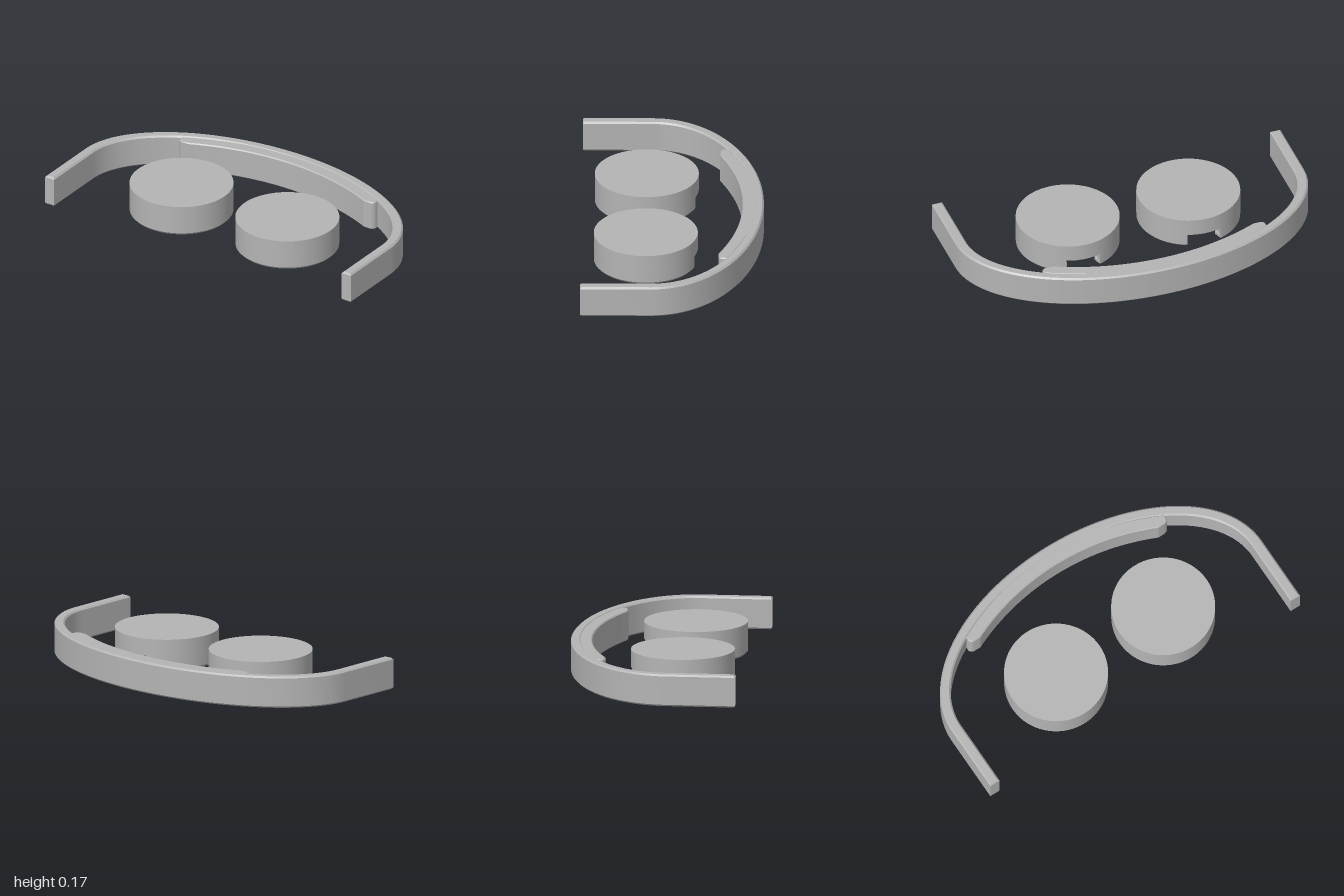
import * as THREE from 'three';
import { toCreasedNormals } from 'three/addons/utils/BufferGeometryUtils.js';

const grey = new THREE.MeshStandardMaterial({ color: 0xb4b4b4 });
grey.name = 'plain grey';

// Extrude a plan outline (x, z) between two heights, with chamfered edges
function slab(name, shape, y0, y1, bevel = 0) {
  const geo = new THREE.ExtrudeGeometry(shape, {
    depth: y1 - y0 - 2 * bevel, curveSegments: 72,
    bevelEnabled: bevel > 0, bevelSize: bevel, bevelThickness: bevel,
    bevelOffset: -bevel, bevelSegments: 1,
  });
  geo.rotateX(Math.PI / 2).translate(0, y1 - bevel, 0);
  const mesh = new THREE.Mesh(toCreasedNormals(geo, 0.4), grey);
  mesh.name = name;
  return mesh;
}

// Ring segment in plan
function sector(rIn, rOut, a0, a1) {
  const s = new THREE.Shape();
  s.absarc(0, 0, rOut, a0, a1, false);
  s.absarc(0, 0, rIn, a1, a0, true);
  return s;
}

// Arched band with two straight arms
function headband() {
  const s = new THREE.Shape();
  s.moveTo(-1, 0.49);
  s.lineTo(-1, 0.11);
  s.absellipse(0, 0.11, 1, 0.605, Math.PI, 2 * Math.PI, false);
  s.lineTo(1, 0.49);
  s.lineTo(0.94, 0.49);
  s.lineTo(0.94, 0.11);
  s.absellipse(0, 0.11, 0.94, 0.55, 2 * Math.PI, Math.PI, true);
  s.lineTo(-0.94, 0.49);
  return slab('headband', s, 0, 0.175, 0.009);
}

// Cushion on the inside of the arch, with rounded ends
function cushion() {
  const s = new THREE.Shape();
  s.moveTo(-0.64, -0.3);
  s.quadraticCurveTo(0, -0.615, 0.64, -0.3);
  s.lineTo(0.64, -0.275);
  s.quadraticCurveTo(0.635, -0.255, 0.61, -0.255);
  s.lineTo(0.575, -0.255);
  s.quadraticCurveTo(0.3, -0.38, 0, -0.38);
  s.quadraticCurveTo(-0.3, -0.38, -0.575, -0.255);
  s.lineTo(-0.61, -0.255);
  s.quadraticCurveTo(-0.635, -0.255, -0.64, -0.275);
  return slab('headbandCushion', s, 0.004, 0.171, 0.006);
}

// Round ear cup, its underside cut by a bent slot that leaves at the back
function earCup(x) {
  const R = 0.281, a0 = -1.207, a1 = 4.386;
  const cup = new THREE.Group();
  cup.name = x > 0 ? 'leftEarCup' : 'rightEarCup';

  const disc = new THREE.Shape();
  disc.absarc(0, 0, R, 0, 2 * Math.PI, false);
  cup.add(slab('cupBody', disc, 0.08, 0.175));

  const slotted = new THREE.Shape();
  slotted.absarc(0, 0, R, a0, a1, false);
  for (const [px, pz] of [[-0.03, 0.14], [0.18, 0.14], [0.18, 0.05], [0.08, 0.05]]) slotted.lineTo(px, pz);
  cup.add(slab('slottedBase', slotted, 0.02, 0.08));

  // Raised rim and inner ridge, interrupted by the slot
  cup.add(slab('cupRim', sector(0.232, R - 0.0005, a0, a1), 0, 0.045, 0.014));
  for (const [b0, b1] of [[0.98, 4.18], [-1.03, 0.27]]) {
    cup.add(slab('innerRidge', sector(0.165, 0.195, b0, b1), 0.01, 0.03, 0.003));
  }
  cup.position.set(x, 0, 0.14);
  return cup;
}

export function createModel() {
  const model = new THREE.Group();
  model.name = 'headphones';
  model.add(headband(), cushion());
  for (const side of [-1, 1]) model.add(earCup(side * 0.346));
  return model;
}
